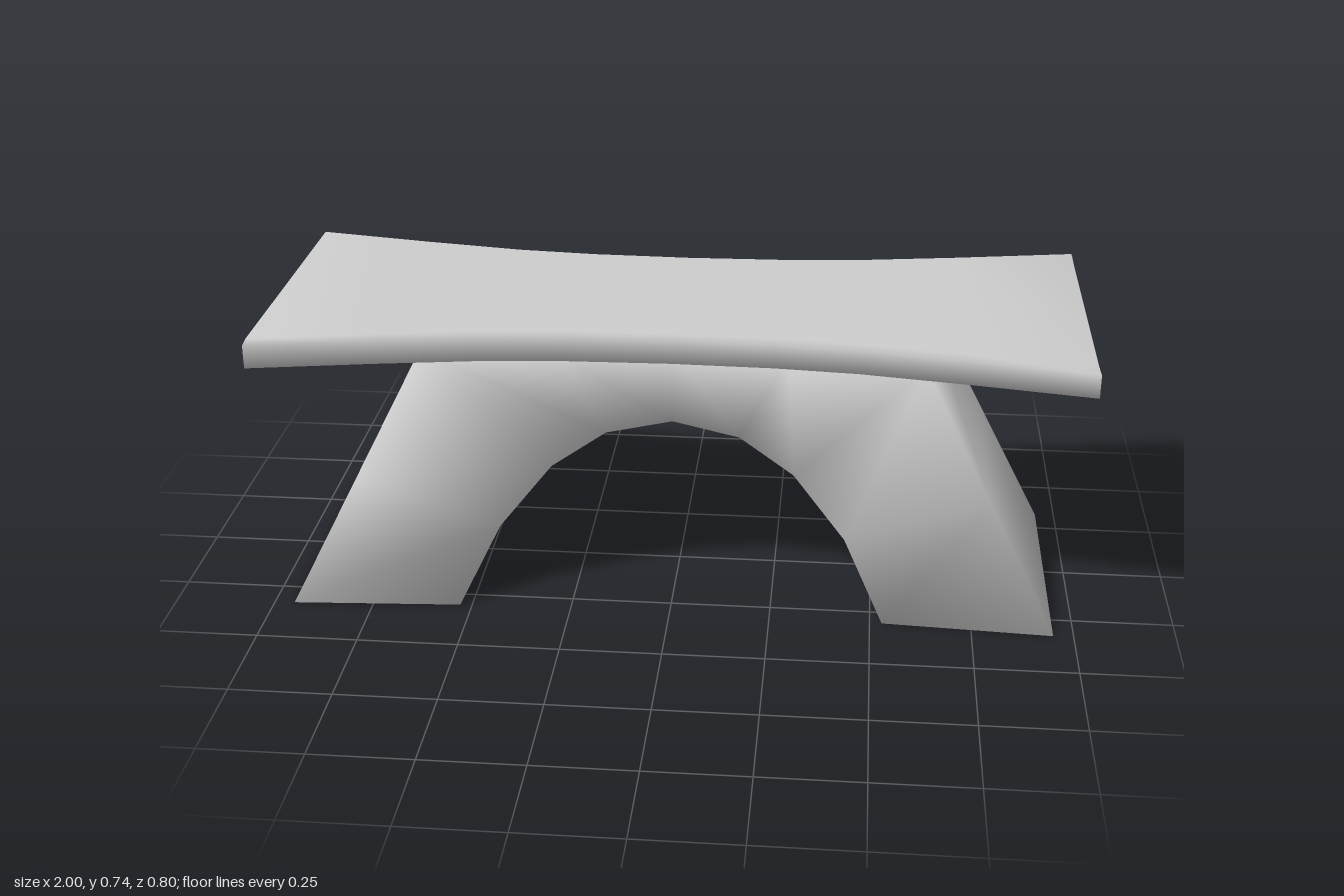
import * as THREE from 'three';

// Skins a row of equal-sized point rings into one closed, smooth-shaded surface
function loft(rings, name) {
  const n = rings[0].length;
  const index = [];
  for (let i = 0; i < rings.length - 1; i++) {
    for (let j = 0; j < n; j++) {
      const a = i * n + j, b = i * n + (j + 1) % n;
      index.push(a, a + n, b, b, a + n, b + n);
    }
  }
  const last = (rings.length - 1) * n;
  for (let j = 1; j < n - 1; j++) {
    index.push(0, j, j + 1);
    index.push(last, last + j + 1, last + j);
  }
  const geometry = new THREE.BufferGeometry();
  geometry.setAttribute('position', new THREE.Float32BufferAttribute(rings.flat(2), 3));
  geometry.setIndex(index);
  geometry.computeVertexNormals();
  const mesh = new THREE.Mesh(geometry, new THREE.MeshStandardMaterial({ color: 0xcccccc }));
  mesh.name = name;
  return mesh;
}

// Stations given from +x to the middle are mirrored on to -x, then ordered -x to +x
function mirrorStations(half, flip) {
  return [...half.slice(0, -1).map(flip), ...half.slice().reverse()];
}

// Waisted seat slab: [x, half depth], with a small bevel round the top
function createSeat() {
  const half = [[1, 0.4], [0.7, 0.345], [0.45, 0.305], [0.25, 0.288], [0, 0.282]];
  const stations = mirrorStations(half, ([x, d]) => [-x, d]);
  const rings = stations.map(([x, d]) => {
    const xTop = x * 0.995, b = d - 0.015;
    return [
      [x, 0.67, d], [x, 0.728, d], [xTop, 0.74, b],
      [xTop, 0.74, -b], [x, 0.728, -d], [x, 0.67, -d],
    ];
  });
  return loft(rings, 'seat');
}

// Arched base: [inner x, inner y, inner half depth, outer x, outer y, outer half depth]
function createBase() {
  const half = [
    [0.53, 0, 0.305, 0.95, 0, 0.33],
    [0.43, 0.2, 0.25, 0.78, 0.335, 0.294],
    [0.3, 0.36, 0.225, 0.61, 0.67, 0.257],
    [0.165, 0.45, 0.21, 0.28, 0.67, 0.225],
    [0, 0.485, 0.205, 0, 0.67, 0.215],
  ];
  const stations = mirrorStations(half, ([xi, yi, di, xo, yo, d]) => [-xi, yi, di, -xo, yo, d]);
  const rings = stations.map(([xi, yi, di, xo, yo, d]) => [
    [xi, yi, di], [xo, yo, d], [xo, yo, -d], [xi, yi, -di],
  ]);
  return loft(rings, 'archedBase');
}

export function createModel() {
  const model = new THREE.Group();
  model.name = 'bench';
  model.add(createSeat(), createBase());
  return model;
}
